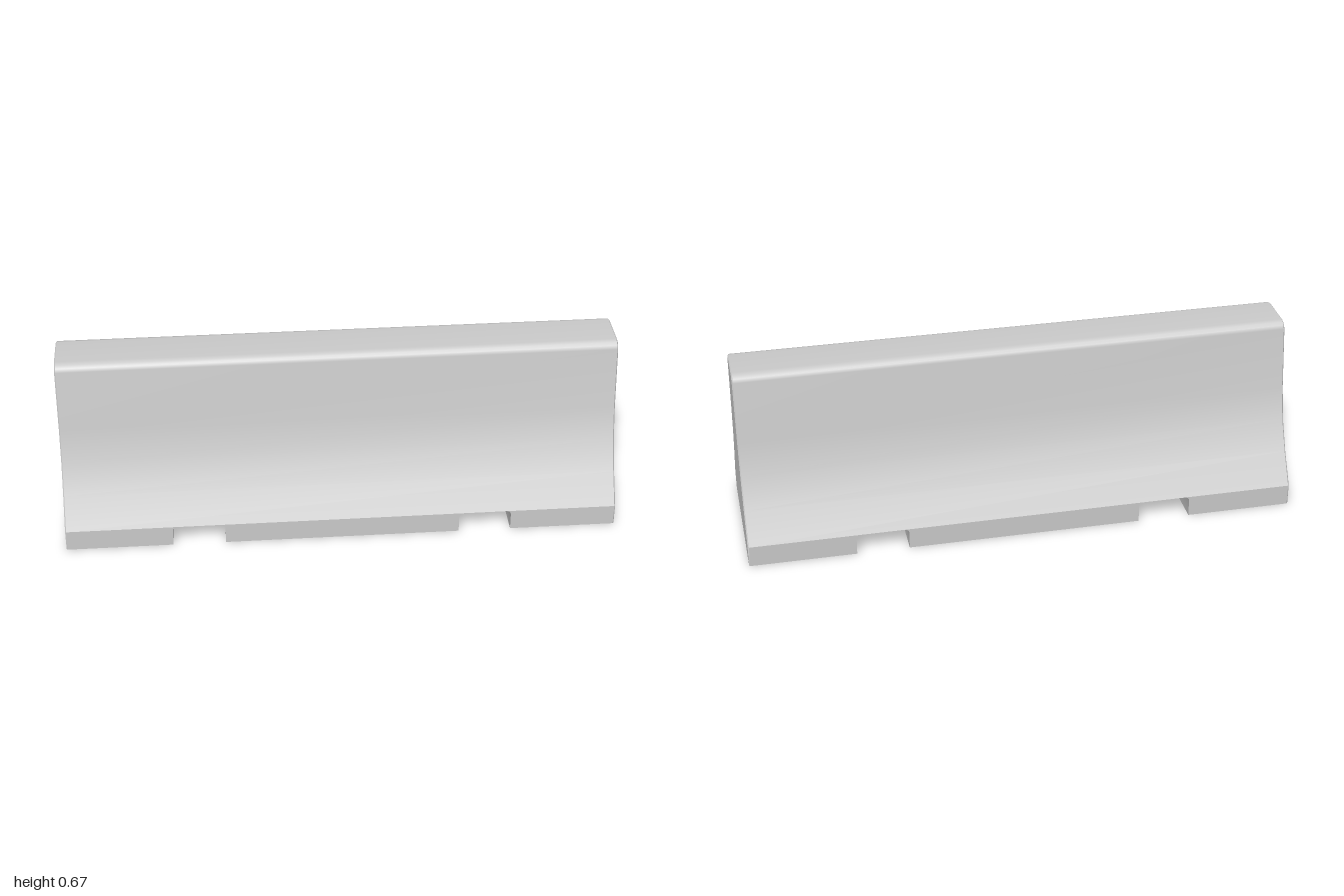
import * as THREE from 'three';
import { toCreasedNormals } from 'three/addons/utils/BufferGeometryUtils.js';

const HALF = 1, DEPTH = 0.273, BASE = 0.078, TOP = 0.669;
const SLOT_IN = 0.425, SLOT_OUT = 0.615, R = 0.015;
const BEVEL = 0.004, INNER = HALF - BEVEL;

// Strip of quads between two matching rows of points
function ribbon(rowA, rowB) {
  const pos = [], index = [];
  rowA.forEach((a, i) => {
    pos.push(...a, ...rowB[i]);
    if (i) {
      const k = 2 * (i - 1);
      index.push(k, k + 1, k + 3, k, k + 3, k + 2);
    }
  });
  const g = new THREE.BufferGeometry();
  g.setAttribute('position', new THREE.Float32BufferAttribute(pos, 3));
  g.setIndex(index);
  g.computeVertexNormals();
  return g;
}

const toShape = pts => new THREE.Shape(pts.map(p => new THREE.Vector2(...p)));
const rowAt = (x, pts) => pts.map(([z, y]) => [x, y, z]);

// Slot outline from its left foot to its right foot, with filleted upper corners
function slot(x0, x1) {
  const left = [[x0, 0]];
  for (let i = 0; i <= 4; i++) {
    const a = (i / 4) * Math.PI / 2;
    left.push([x0 + R * (1 - Math.cos(a)), BASE - R + R * Math.sin(a)]);
  }
  const right = left.map(([x, y]) => [x0 + x1 - x, y]).reverse();
  return { left, right };
}

export function createModel() {
  const group = new THREE.Group();
  const material = new THREE.MeshStandardMaterial({ color: 0xcccccc });
  const add = (name, geometry, turn = 0) => {
    const mesh = new THREE.Mesh(geometry, material);
    mesh.name = name;
    mesh.rotation.y = turn;
    group.add(mesh);
  };

  // Flared sides and rounded top, as (z, y) from front shoulder to back shoulder
  const half = [[DEPTH, BASE], [0.209, 0.19], [0.159, 0.3], [0.13, 0.42],
    [0.1, 0.643], [0.094, 0.656], [0.084, 0.664], [0.068, TOP]];
  const profile = [...half, ...half.map(([z, y]) => [-z, y]).reverse()];
  add('barrierBody', ribbon(rowAt(-INNER, profile), rowAt(INNER, profile)));

  // Thin bevels leading to the flat ends
  const outline = [[DEPTH, 0], ...profile, [-DEPTH, 0]];
  const inset = outline.map(([z, y]) => [z - Math.sign(z) * BEVEL, y * (1 - BEVEL / TOP)]);
  add('leftBevel', ribbon(rowAt(INNER, outline), rowAt(HALF, inset)));
  add('rightBevel', ribbon(rowAt(-HALF, inset), rowAt(-INNER, outline)));
  const end = new THREE.ShapeGeometry(toShape(inset));
  end.translate(0, 0, HALF);
  add('leftEnd', end, Math.PI / 2);
  add('rightEnd', end, -Math.PI / 2);

  // Underside with two slots running through from front to back
  const a = slot(-SLOT_OUT, -SLOT_IN), b = slot(SLOT_IN, SLOT_OUT);
  const under = [[-HALF, 0], [-INNER, 0], ...a.left, ...a.right,
    ...b.left, ...b.right, [INNER, 0], [HALF, 0]];
  const underRow = side => under.map(([x, y]) =>
    [x, y, side * (Math.abs(x) === HALF ? DEPTH - BEVEL : DEPTH)]);
  add('underside', toCreasedNormals(ribbon(underRow(1), underRow(-1)), 0.3));

  // Upright faces of the three feet, front and back
  const feet = new THREE.ShapeGeometry([
    toShape([[-INNER, BASE], [-INNER, 0], ...a.left]),
    toShape([...a.right, ...b.left]),
    toShape([...b.right, [INNER, 0], [INNER, BASE]]),
  ]);
  feet.translate(0, 0, DEPTH);
  add('frontFeet', feet);
  add('backFeet', feet, Math.PI);

  return group;
}
